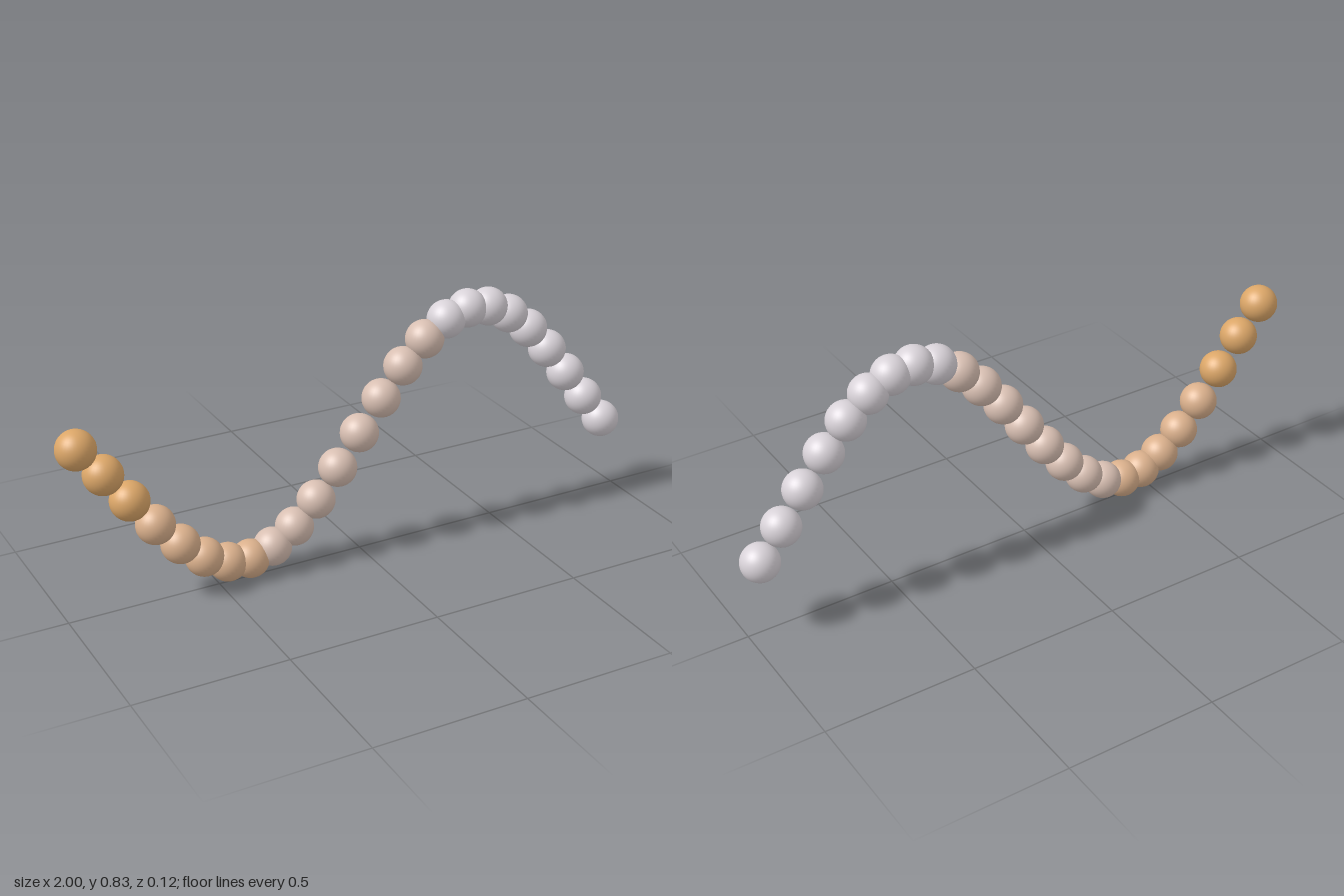
import * as THREE from 'three';

const COUNT = 25;
const RADIUS = 0.0625;
const SPACING = 0.078125;
const AMPLITUDE = 0.3516;
const STEP_ANGLE = 0.3;

export function createModel() {
  const model = new THREE.Group();
  model.name = 'beadWave';

  // Colour bands along the wave, each ending at the given bead index
  const bands = [
    { name: 'amber', color: 0xdba668, end: 3 },
    { name: 'tan', color: 0xdab08c, end: 8 },
    { name: 'dustyPink', color: 0xd8bfb2, end: 16 },
    { name: 'paleGrey', color: 0xd8d2d8, end: COUNT },
  ].map(({ name, color, end }) => {
    const material = new THREE.MeshStandardMaterial({ color });
    material.name = name;
    return { material, end };
  });

  // Evenly spaced beads following a sine curve
  const sphere = new THREE.SphereGeometry(RADIUS, 32, 24);
  const half = (COUNT - 1) / 2;
  const midHeight = RADIUS + AMPLITUDE * Math.sin(5 * STEP_ANGLE);
  for (let i = 0; i < COUNT; i++) {
    const step = i - half;
    const bead = new THREE.Mesh(sphere, bands.find((band) => i < band.end).material);
    bead.name = `bead${i + 1}`;
    bead.position.set(step * SPACING, midHeight + AMPLITUDE * Math.sin(step * STEP_ANGLE), 0);
    model.add(bead);
  }
  return model;
}
